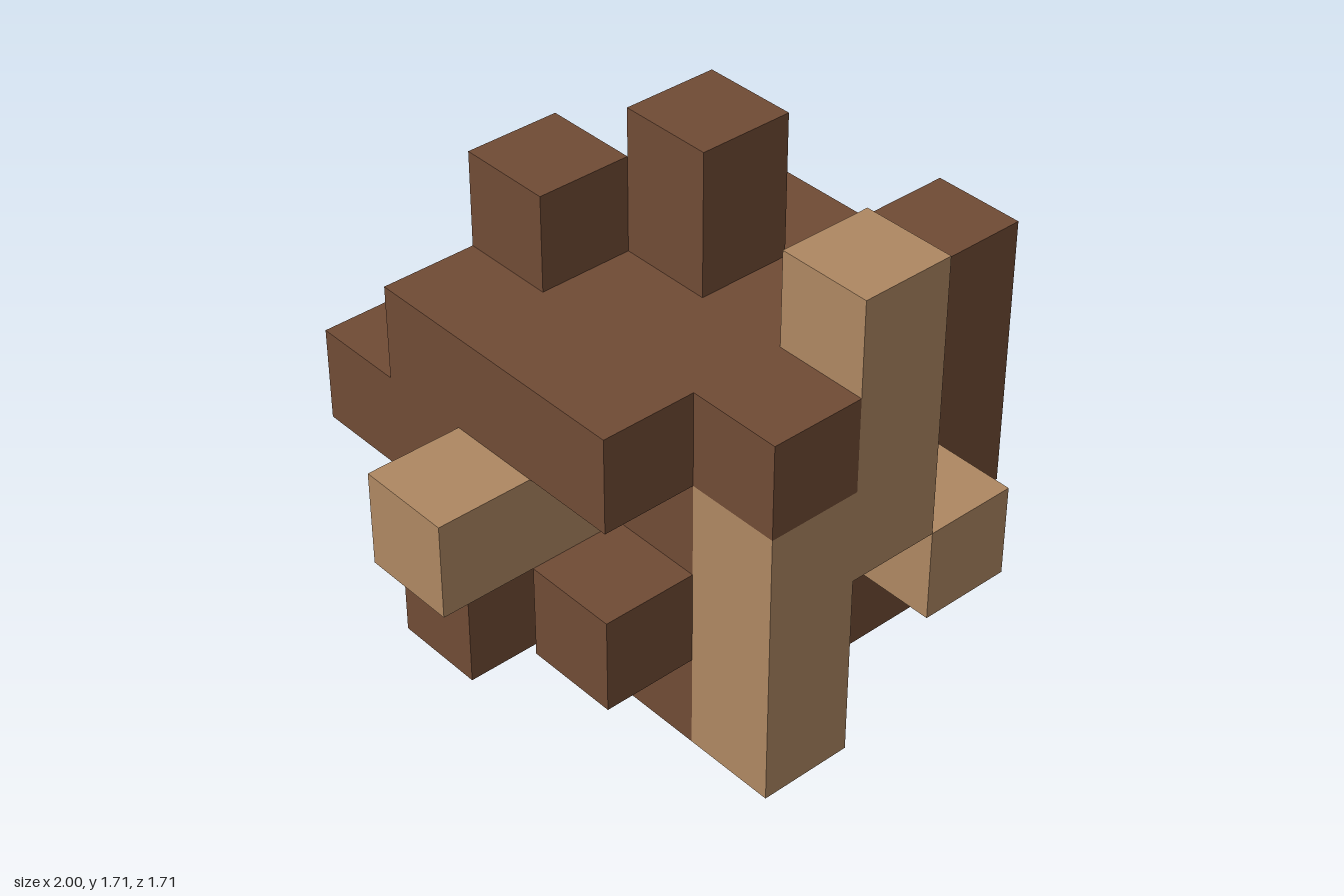
import * as THREE from 'three';

const C = 2 / 7; // edge of one puzzle cell

export function createModel() {
  const group = new THREE.Group();
  const dark = new THREE.MeshStandardMaterial({ color: 0x704b35 });
  dark.name = 'dark walnut';
  const light = new THREE.MeshStandardMaterial({ color: 0xae8762 });
  light.name = 'light maple';

  // Bar filling cells x0..x1, y0..y1, z0..z1 (inclusive); the grid starts half a cell above the ground
  function bar(name, material, [x0, x1], [y0, y1], [z0, z1]) {
    const geometry = new THREE.BoxGeometry((x1 - x0 + 1) * C, (y1 - y0 + 1) * C, (z1 - z0 + 1) * C);
    const mesh = new THREE.Mesh(geometry, material);
    mesh.position.set(((x0 + x1) / 2 - 3) * C, ((y0 + y1) / 2 + 1) * C, ((z0 + z1) / 2 - 2.5) * C);
    mesh.name = name;
    group.add(mesh);
  }

  // One-cell block with a round hollow in the face turned by angle from the front
  function dimpledBlock(name, x, y, z, angle) {
    const block = new THREE.Group();
    const depth = 0.1, r = 0.1, h = C / 2;
    const shape = new THREE.Shape([
      new THREE.Vector2(-h, -h), new THREE.Vector2(h, -h),
      new THREE.Vector2(h, h), new THREE.Vector2(-h, h),
    ]);
    shape.holes.push(new THREE.Path().absarc(0, 0, r, 0, Math.PI * 2, true));
    const plate = new THREE.Mesh(
      new THREE.ExtrudeGeometry(shape, { depth, bevelEnabled: false, curveSegments: 32 }), dark);
    plate.position.z = h - depth;
    plate.name = 'holedFace';
    const core = new THREE.Mesh(new THREE.BoxGeometry(C, C, C - depth), dark);
    core.position.z = -depth / 2;
    core.name = 'blockCore';
    const profile = [[r, 0], [0.082, -0.045], [0.04, -0.062], [0, -0.07]]
      .map(([a, b]) => new THREE.Vector2(a, b));
    const bowl = new THREE.Mesh(new THREE.LatheGeometry(profile, 32).rotateX(Math.PI / 2), dark);
    bowl.position.z = h;
    bowl.name = 'dimple';
    block.add(plate, core, bowl);
    block.position.set((x - 3) * C, (y + 1) * C, (z - 2.5) * C);
    block.rotation.y = angle;
    block.name = name;
    group.add(block);
  }

  // Light bars
  bar('rightPeg', light, [0, 1], [2, 2], [3, 3]);
  bar('frontLowColumn', light, [2, 2], [0, 2], [5, 5]);
  bar('frontHighColumn', light, [3, 3], [2, 4], [5, 5]);
  bar('frontPeg', light, [4, 4], [1, 1], [2, 5]);
  bar('innerLink', light, [3, 3], [1, 1], [2, 2]);
  bar('innerCrossbar', light, [2, 2], [1, 1], [1, 3]);
  bar('innerBackColumn', light, [3, 3], [2, 3], [2, 2]);

  // Central post, half a cell longer at both ends
  bar('centrePost', dark, [3, 3], [-0.5, 4.5], [3, 3]);

  // Dark upright bars
  bar('backPost', dark, [2, 2], [2, 4], [2, 2]);
  bar('rightLeg', dark, [1, 1], [1, 3], [2, 2]);
  bar('leftColumn', dark, [5, 5], [1, 3], [4, 4]);

  // Dark bars in the upper layer
  bar('topRightBar', dark, [1, 1], [3, 3], [3, 4]);
  bar('topMiddleBar', dark, [2, 2], [3, 3], [3, 5]);
  bar('topFrontBar', dark, [3, 4], [3, 3], [4, 4]);
  bar('topLeftBar', dark, [4, 4], [3, 3], [2, 3]);

  // Dark bars in the middle layer
  bar('middleFrontBar', dark, [2, 4], [2, 2], [4, 4]);
  bar('middleLeftBar', dark, [4, 4], [2, 2], [0, 3]);
  bar('leftPeg', dark, [5, 6], [2, 2], [3, 3]);
  bar('backBar', dark, [1, 3], [2, 2], [1, 1]);
  bar('middleCore', dark, [2, 2], [2, 2], [3, 3]);

  // Dark bars in the lower layers
  bar('lowBackBar', dark, [3, 5], [1, 1], [1, 1]);
  bar('lowFrontBar', dark, [2, 3], [1, 1], [4, 4]);
  bar('bottomFrontBar', dark, [2, 4], [0, 0], [4, 4]);

  // Hollowed end blocks
  dimpledBlock('rightLegFoot', 1, 0, 2, Math.PI / 2);
  dimpledBlock('lowFrontBarEnd', 1, 1, 4, Math.PI);

  return group;
}
